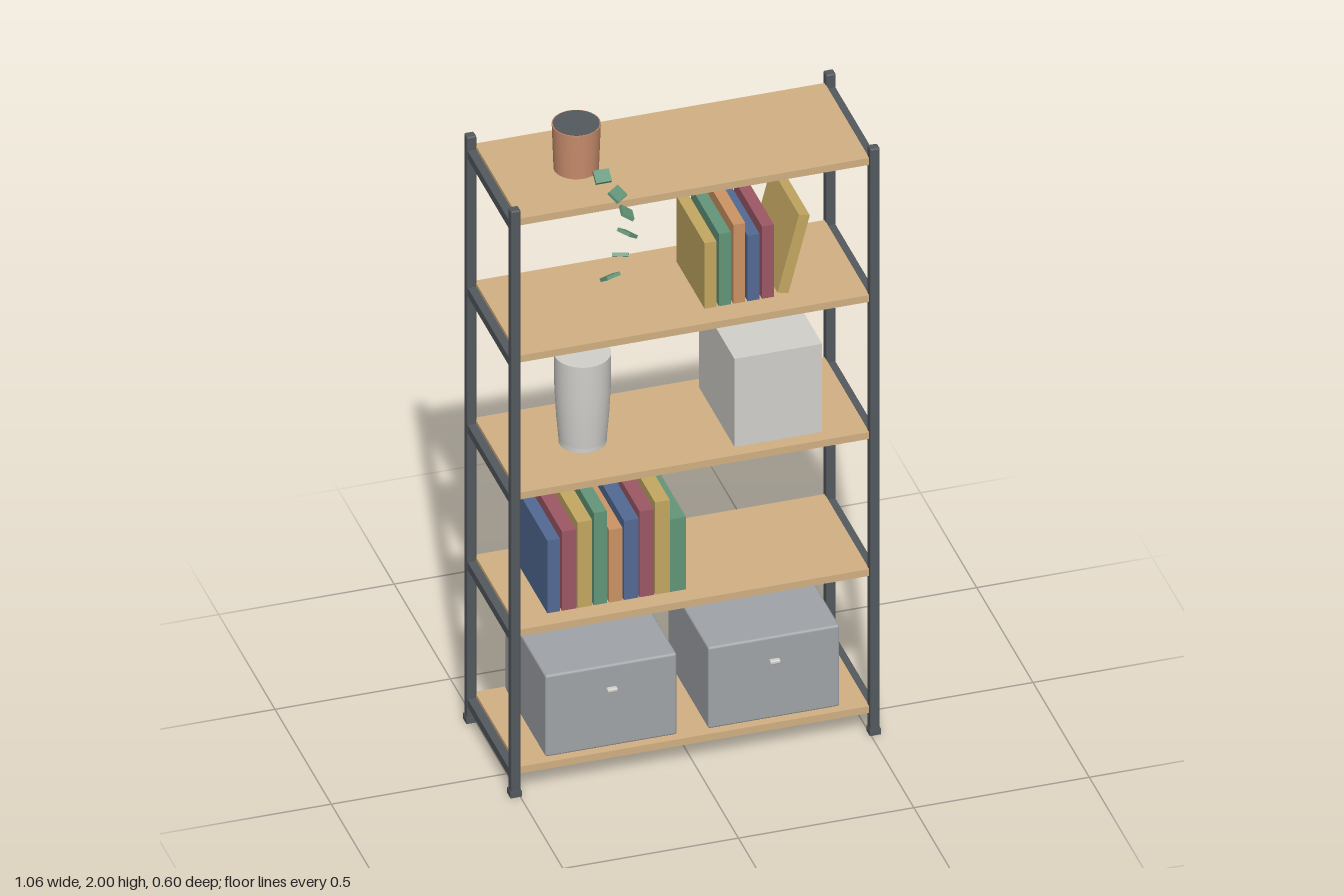
import * as THREE from 'three';
import { RoundedBoxGeometry } from 'three/addons/geometries/RoundedBoxGeometry.js';

const mat = (name, color) => {
  const m = new THREE.MeshStandardMaterial({ color });
  m.name = name;
  return m;
};

export function createModel() {
  const wood = mat('wood', 0xd2b083);
  const metal = mat('dark metal', 0x53595e);
  const grey = mat('bin grey', 0xa0a4a8);
  const white = mat('off white', 0xd2d0cb);
  const blue = mat('blue', 0x536a94);
  const red = mat('red', 0x9c5865);
  const yellow = mat('yellow', 0xc4a862);
  const green = mat('green', 0x63967a);
  const orange = mat('orange', 0xcc9464);
  const clay = mat('terracotta', 0xc78c6c);

  const model = new THREE.Group();
  model.name = 'bookshelf';
  const zMid = -0.09;

  const add = (name, geo, material, x, y, z, parent = model) => {
    const m = new THREE.Mesh(geo, material);
    m.name = name;
    m.position.set(x, y, z);
    parent.add(m);
    return m;
  };
  const group = (name) => {
    const g = new THREE.Group();
    g.name = name;
    model.add(g);
    return g;
  };
  const box = (w, h, d) => new THREE.BoxGeometry(w, h, d);

  // Frame: four posts with feet
  const frame = group('frame');
  for (const x of [-0.512, 0.512]) {
    for (const z of [zMid - 0.196, zMid + 0.196]) {
      add('post', new RoundedBoxGeometry(0.028, 1.89, 0.028, 2, 0.005), metal, x, 0.945, z, frame);
      add('foot', box(0.032, 0.018, 0.032), metal, x, 0.009, z, frame);
    }
  }

  // Five boards, each carried by a rail at both ends
  const tops = [0, 1, 2, 3, 4].map((i) => 0.088 + i * 0.442);
  for (const top of tops) {
    add('shelfBoard', box(0.998, 0.022, 0.396), wood, 0, top - 0.011, zMid);
    for (const x of [-0.512, 0.512]) {
      add('sideRail', box(0.024, 0.026, 0.366), metal, x, top - 0.022, zMid, frame);
    }
  }

  // Storage bins with small pulls
  for (const x of [-0.232, 0.232]) {
    const bin = group('storageBin');
    add('binBody', new RoundedBoxGeometry(0.375, 0.262, 0.36, 2, 0.007), grey, x, 0.225, -0.086, bin);
    add('binPull', new RoundedBoxGeometry(0.03, 0.012, 0.016, 2, 0.004), white, x, 0.281, 0.101, bin);
  }

  // Lower row of books
  const lower = group('lowerBooks');
  const lowerColours = [blue, red, yellow, green, orange, blue, red, yellow, green];
  const lowerWidths = [0.036, 0.041, 0.042, 0.037, 0.038, 0.042, 0.041, 0.042, 0.045];
  lowerColours.forEach((m, i) => {
    const h = 0.234 + (i % 4) * 0.021;
    add('book', box(lowerWidths[i], h, 0.275), m, -0.383 + i * 0.0443, tops[1] + h / 2, -0.085, lower);
  });

  // Vase and storage cube
  const vaseProfile = [[0, 0], [0.066, 0], [0.072, 0.07], [0.077, 0.16], [0.078, 0.27], [0, 0.27]]
    .map(([r, y]) => new THREE.Vector2(r, y));
  const vaseSide = new THREE.LatheGeometry(vaseProfile.slice(1, 5), 32);
  const vase = group('vase');
  add('vaseBody', vaseSide, white, -0.255, 0.986, zMid, vase);
  add('vaseTop', new THREE.CircleGeometry(0.078, 32).rotateX(-Math.PI / 2), white, -0.255, 1.256, zMid, vase);
  add('vaseBase', new THREE.CylinderGeometry(0.066, 0.066, 0.014, 32), white, -0.255, 0.98, zMid, vase);
  add('storageCube', box(0.25, 0.284, 0.315), white, 0.252, 1.115, -0.088);

  // Upper row of books, the last one leaning
  const upper = group('upperBooks');
  [yellow, green, orange, blue, red].forEach((m, i) => {
    const h = 0.211 + (i % 3) * 0.0215;
    add('book', box(0.034, h, 0.248), m, 0.069 + i * 0.041, tops[3] + h / 2, -0.087, upper);
  });
  add('leaningBook', box(0.032, 0.247, 0.248), yellow, 0.306, 1.541, -0.087, upper).rotation.z = -0.25;

  // Plant pot with soil
  const plant = group('pottedPlant');
  add('pot', new THREE.CylinderGeometry(0.067, 0.062, 0.142, 32), clay, -0.273, 1.928, zMid, plant);
  add('soil', new THREE.CylinderGeometry(0.064, 0.064, 0.006, 32), metal, -0.273, 1.997, zMid, plant);

  // Trailing leaves, turning as they descend
  for (let i = 0; i < 6; i++) {
    const leaf = add('leaf', box(0.045, 0.01, 0.038), green,
      -0.273 + 0.054 * Math.sin(0.7 * i), 1.968 - 0.048 * i, 0.141 + 0.026 * i, plant);
    leaf.rotation.set(0.6, 0.7 * i, 0, 'YXZ');
  }

  return model;
}
